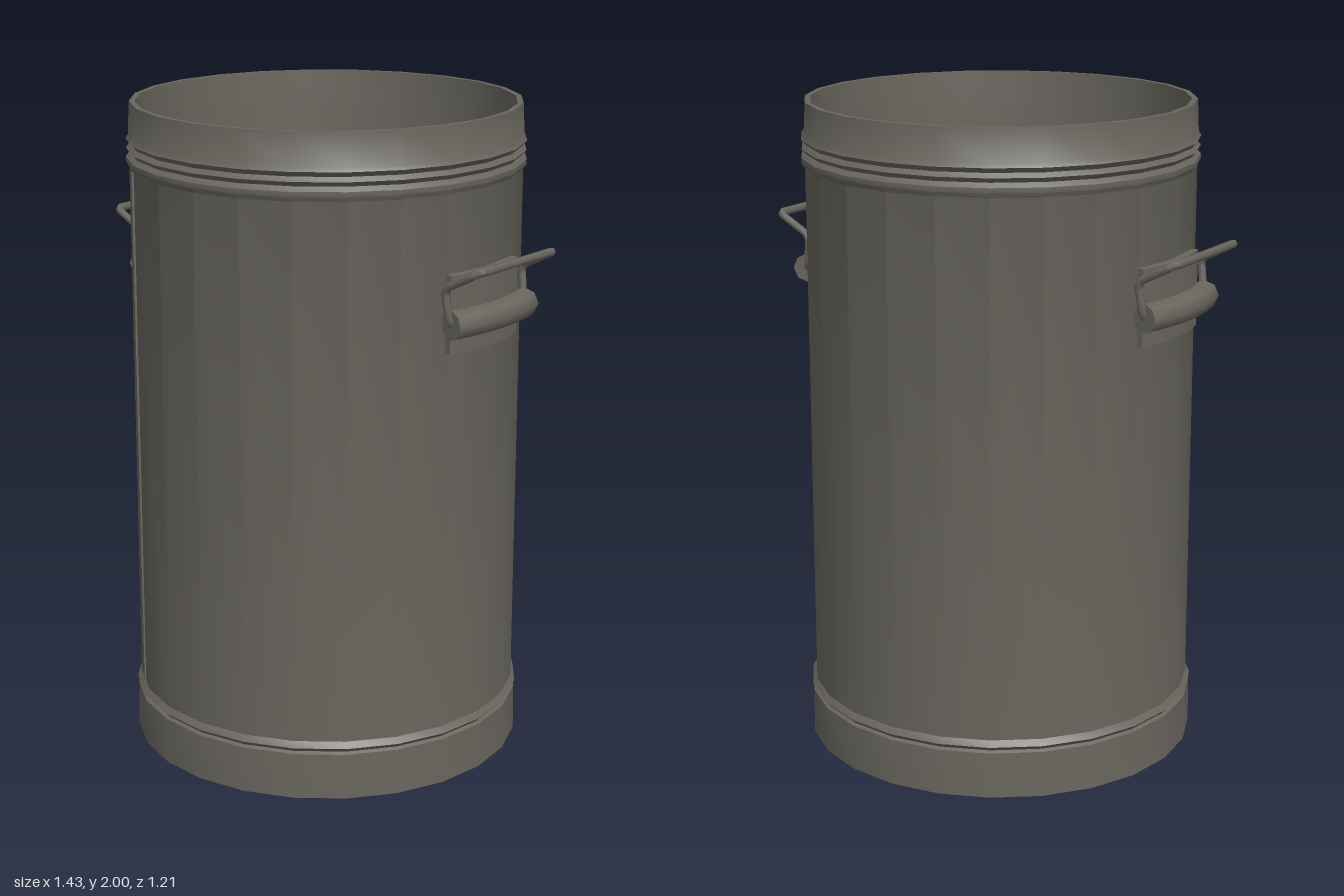
import * as THREE from 'three';
import { toCreasedNormals } from 'three/addons/utils/BufferGeometryUtils.js';

const SIDES = 24;

export function createModel() {
  const model = new THREE.Group();
  model.name = 'metalBin';
  const steel = new THREE.MeshStandardMaterial({ color: 0x69665e });
  steel.name = 'dull steel';

  const add = (parent, name, geometry, crease = 0.6) => {
    const mesh = new THREE.Mesh(toCreasedNormals(geometry, crease), steel);
    mesh.name = name;
    parent.add(mesh);
    return mesh;
  };
  const lathe = (pts) =>
    new THREE.LatheGeometry(pts.map(([r, y]) => new THREE.Vector2(r, y)), SIDES);

  // Closed shell: underside, base band, beads, wall, rim, inner wall and floor
  add(model, 'canBody', lathe([
    [0, 0], [0.604, 0], [0.602, 0.142], [0.592, 0.148], [0.605, 0.162], [0.592, 0.18],
    [0.59, 1.805], [0.6, 1.82], [0.6, 1.835], [0.587, 1.848], [0.599, 1.862],
    [0.587, 1.875], [0.6, 1.89], [0.592, 1.902], [0.587, 2],
    [0.57, 2], [0.568, 1.9], [0.567, 0.04], [0, 0.04],
  ]));

  // Welded seam running up the front of the wall
  const seam = add(model, 'wallSeam', new THREE.BoxGeometry(0.014, 1.62, 0.008));
  const seamAngle = -0.645;
  seam.position.set(Math.sin(seamAngle) * 0.588, 0.99, Math.cos(seamAngle) * 0.588);
  seam.rotation.y = seamAngle;

  // Curved plate hugging the wall, centred on +x
  const plateGeometry = () => {
    const half = 0.27;
    const shape = new THREE.Shape();
    shape.absarc(0, 0, 0.612, -half, half, false);
    shape.absarc(0, 0, 0.578, half, -half, true);
    const g = new THREE.ExtrudeGeometry(shape, { depth: 0.23, bevelEnabled: false, curveSegments: 6 });
    return g.rotateX(-Math.PI / 2).translate(0, 1.345, 0);
  };

  // Rolled sleeve that holds the wire, a bent bar with closed ends
  const sleeveGeometry = () => {
    const sections = 6, sides = 8, pos = [], idx = [];
    for (let i = 0; i <= sections; i++) {
      const a = -0.29 + (0.58 * i) / sections;
      for (let j = 0; j < sides; j++) {
        const b = (j / sides) * Math.PI * 2;
        const r = 0.63 + Math.cos(b) * 0.046;
        pos.push(r * Math.cos(a), 1.437 + Math.sin(b) * 0.044, r * Math.sin(a));
      }
    }
    for (let i = 0; i < sections; i++) {
      for (let j = 0; j < sides; j++) {
        const p = i * sides + j, q = i * sides + ((j + 1) % sides);
        idx.push(p, q, p + sides, q, q + sides, p + sides);
      }
    }
    const last = sections * sides;
    for (let j = 1; j < sides - 1; j++) {
      idx.push(0, j + 1, j, last, last + j, last + j + 1);
    }
    const g = new THREE.BufferGeometry();
    g.setAttribute('position', new THREE.Float32BufferAttribute(pos, 3));
    g.setIndex(idx);
    return g;
  };

  // Bent wire bail, mirrored about z = 0
  const wireGeometry = () => {
    const half = [
      [0.606, 1.43, 0.165], [0.6, 1.45, 0.183], [0.588, 1.538, 0.19],
      [0.602, 1.552, 0.19], [0.69, 1.598, 0.188], [0.703, 1.604, 0.175],
    ];
    const pts = [...half, ...half.map(([x, y, z]) => [x, y, -z]).reverse()]
      .map((p) => new THREE.Vector3(...p));
    const path = new THREE.CurvePath();
    for (let i = 0; i < pts.length - 1; i++) path.add(new THREE.LineCurve3(pts[i], pts[i + 1]));
    return new THREE.TubeGeometry(path, 70, 0.0125, 6, false);
  };

  // One handle on each side
  for (const [name, turn] of [['leftHandle', 0], ['rightHandle', Math.PI]]) {
    const handle = new THREE.Group();
    handle.name = name;
    handle.rotation.y = turn;
    add(handle, 'handlePlate', plateGeometry());
    add(handle, 'handleSleeve', sleeveGeometry(), 0.9);
    add(handle, 'handleWire', wireGeometry(), 1.1);
    model.add(handle);
  }
  return model;
}
